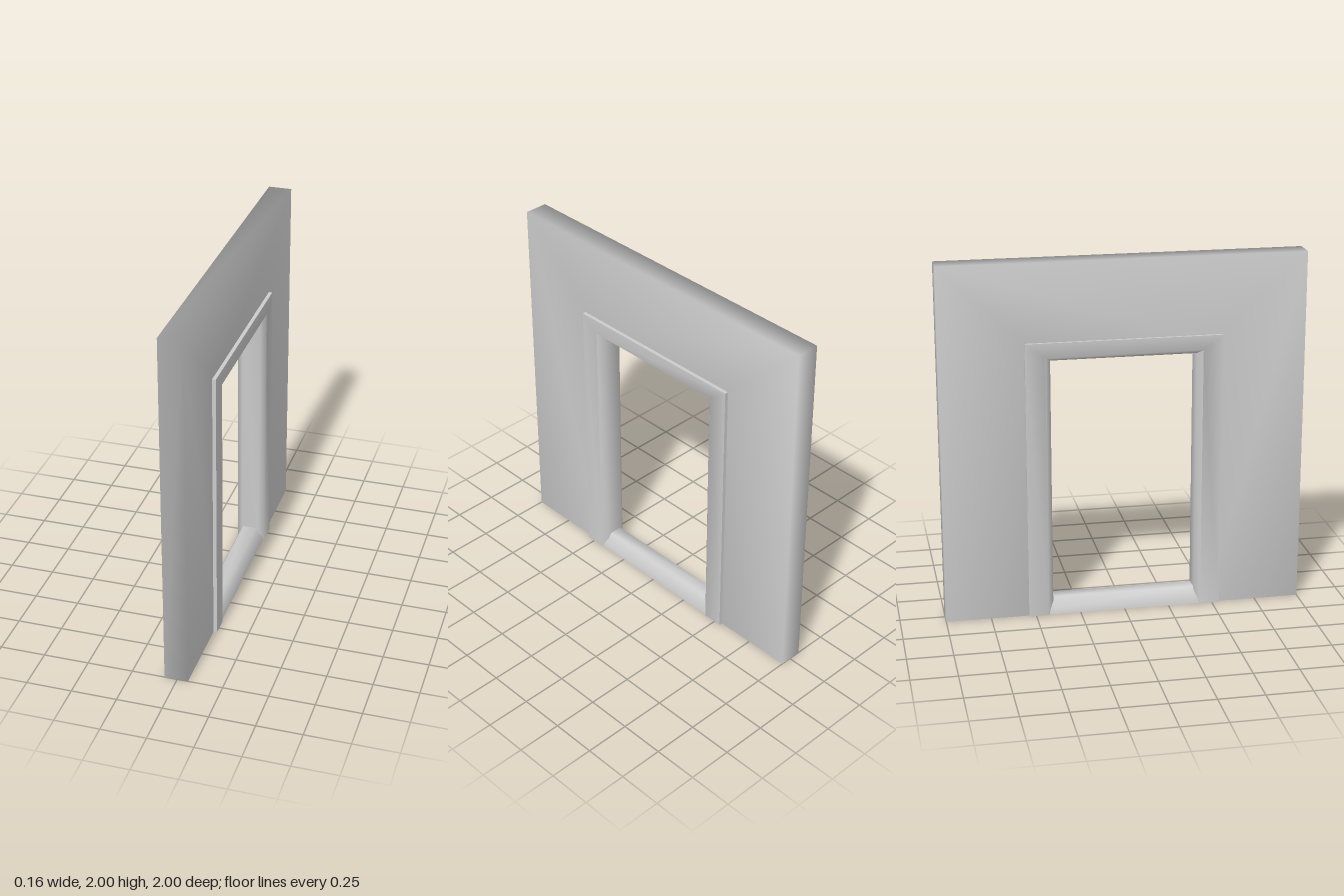
import * as THREE from 'three';
import { mergeVertices, toCreasedNormals } from 'three/addons/utils/BufferGeometryUtils.js';

const material = new THREE.MeshStandardMaterial({ color: 0xcccccc });

function addPart(group, name, geometry) {
  const mesh = new THREE.Mesh(geometry, material);
  mesh.name = name;
  group.add(mesh);
}

// Shares every vertex so the shading flows around the edges
function softened(geometry) {
  geometry.deleteAttribute('normal');
  geometry.deleteAttribute('uv');
  const merged = mergeVertices(geometry);
  merged.computeVertexNormals();
  return merged;
}

// Wall panel with a door opening, extruded through its thickness (x)
function wallGeometry() {
  const outline = [[-1, 0], [-0.47, 0], [-0.47, 1.52], [0.47, 1.52], [0.47, 0], [1, 0], [1, 2], [-1, 2]];
  const shape = new THREE.Shape(outline.map(([u, y]) => new THREE.Vector2(u, y)));
  const geometry = new THREE.ExtrudeGeometry(shape, { depth: 0.13, bevelEnabled: false });
  geometry.translate(0, 0, -0.07);
  geometry.rotateY(Math.PI / 2);
  return softened(geometry);
}

// Mitred casing: a chamfered section swept up, across and down the opening
function casingGeometry() {
  // [x, t], where t runs from the opening (0) to the outer edge (1)
  const section = [[-0.085, 1], [-0.085, 0.22], [-0.05, 0], [0.05, 0], [0.08, 0.22], [0.08, 1]];
  const stations = [[-1, 0], [-1, 1], [1, 1], [1, 0]];
  const n = section.length;
  const positions = [];
  const indices = [];
  for (const [side, top] of stations) {
    for (const [x, t] of section) {
      positions.push(x, top * (1.46 + 0.105 * t), side * (0.4 + 0.14 * t));
    }
  }
  for (let s = 0; s < stations.length - 1; s++) {
    for (let i = 0; i < n; i++) {
      const a = s * n + i;
      const b = s * n + ((i + 1) % n);
      indices.push(a, b, a + n, b, b + n, a + n);
    }
  }
  // Closed feet
  const last = (stations.length - 1) * n;
  for (let i = 1; i < n - 1; i++) {
    indices.push(0, i + 1, i);
    indices.push(last, last + i, last + i + 1);
  }
  const geometry = new THREE.BufferGeometry();
  geometry.setAttribute('position', new THREE.Float32BufferAttribute(positions, 3));
  geometry.setIndex(indices);
  return toCreasedNormals(geometry, Math.PI / 3);
}

// Low threshold with sloping sides, running between the posts
function thresholdGeometry() {
  const profile = [[-0.078, 0], [0.073, 0], [0.068, 0.025], [0.035, 0.09], [-0.04, 0.09], [-0.073, 0.025]];
  const shape = new THREE.Shape(profile.map(([x, y]) => new THREE.Vector2(x, y)));
  const geometry = new THREE.ExtrudeGeometry(shape, { depth: 0.9, bevelEnabled: false });
  geometry.translate(0, 0, -0.45);
  return toCreasedNormals(geometry, Math.PI / 2.7);
}

export function createModel() {
  const group = new THREE.Group();
  group.name = 'doorwayWall';
  addPart(group, 'wall', wallGeometry());
  addPart(group, 'doorCasing', casingGeometry());
  addPart(group, 'threshold', thresholdGeometry());
  return group;
}
